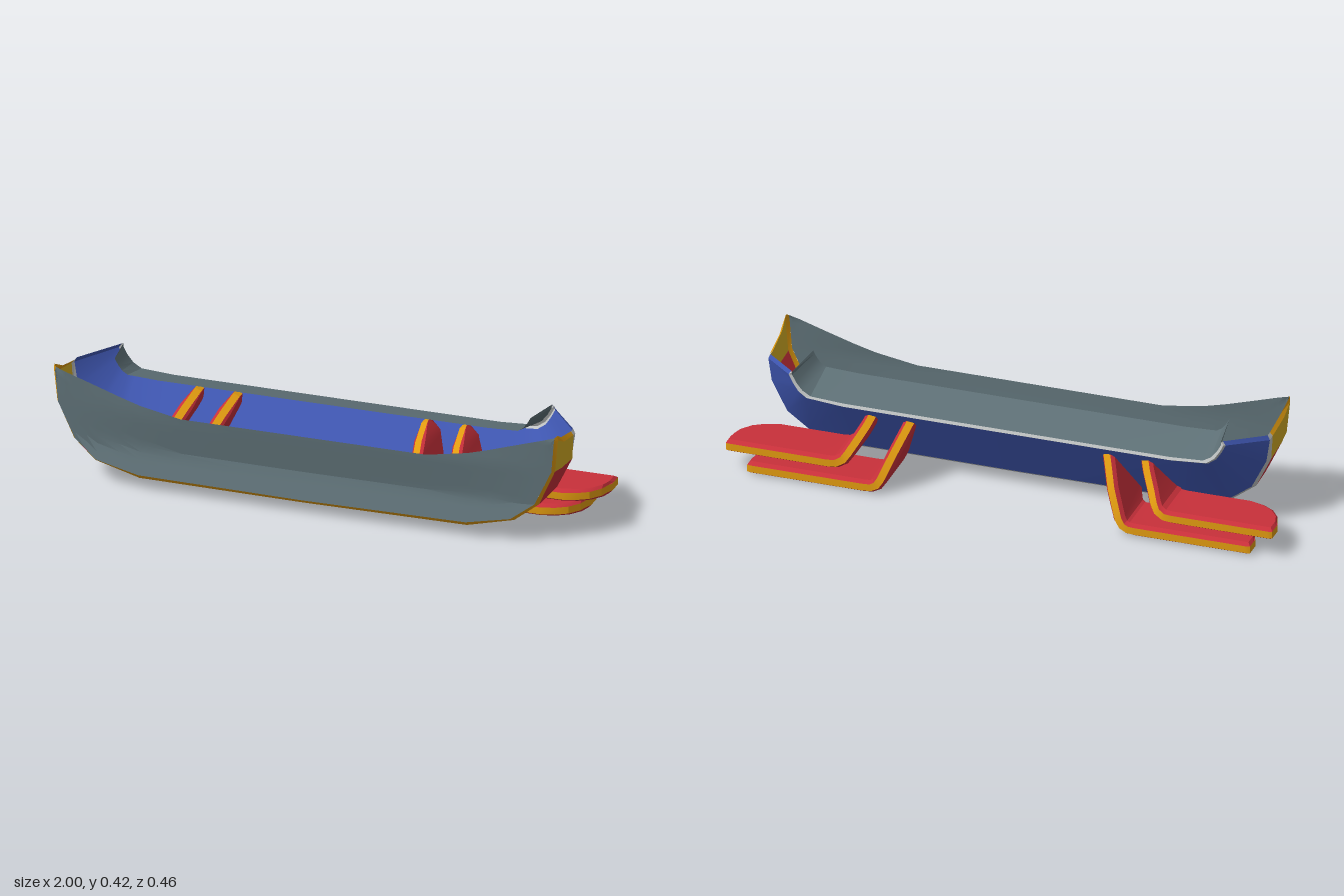
import * as THREE from 'three';
import { toCreasedNormals } from 'three/addons/utils/BufferGeometryUtils.js';

const mat = (name, color) => {
  const m = new THREE.MeshStandardMaterial({ color, side: THREE.DoubleSide });
  m.name = name;
  return m;
};

// Collects quads, then turns them into one mesh
class Surface {
  constructor() { this.p = []; }
  quad(a, b, c, d) { this.p.push(...a, ...b, ...c, ...a, ...c, ...d); }
  // joins matching segments of two cross-sections
  strip(A, B, from = 0, to = A.length - 1) {
    for (let i = from; i < to; i++) this.quad(A[i], A[i + 1], B[i + 1], B[i]);
  }
  mesh(name, material) {
    const g = new THREE.BufferGeometry();
    g.setAttribute('position', new THREE.Float32BufferAttribute(this.p, 3));
    const m = new THREE.Mesh(toCreasedNormals(g, 0.35), material);
    m.name = name;
    return m;
  }
}

// Mirrors half a cross-section (top of the +x side down to the centre)
const full = h => [...h, ...h.slice(0, -1).reverse().map(([x, y, z]) => [-x, y, z])];
const section = (xy, z) => full(xy.map(([x, y], i) => [x, y, Array.isArray(z) ? z[i] : z]));

// Piecewise linear lookup in [key, value] pairs, keys rising
function lookup(t, v) {
  if (v <= t[0][0]) return t[0][1];
  for (let i = 1; i < t.length; i++) {
    if (v <= t[i][0]) {
      const k = (v - t[i - 1][0]) / (t[i][0] - t[i - 1][0]);
      return t[i - 1][1] + k * (t[i][1] - t[i - 1][1]);
    }
  }
  return t[t.length - 1][1];
}

const frontZ = y => lookup([[0.057, 0.229], [0.146, 0.195], [0.28, 0.196], [0.40, 0.198], [0.42, 0.19]], y);

export function createModel() {
  const group = new THREE.Group();
  const slate = mat('slate', 0x5e7076);
  const red = mat('red', 0xc8303a);
  const blue = mat('blue', 0x4058b4);
  const orange = mat('orange', 0xe09a10);
  const yellow = mat('yellow', 0xd2ab24);
  const grey = mat('light grey', 0xbfc2c2);

  // Cross-sections of the shell, front to back
  const edgeXY = [[0.915, 0.412], [0.914, 0.395], [0.904, 0.283], [0.842, 0.152], [0.76, 0.093], [0.6, 0.062], [0, 0.057]];
  const edge = section(edgeXY, edgeXY.map(p => frontZ(p[1])));
  const rim = section(
    [[0.922, 0.418], [0.924, 0.40], [0.912, 0.28], [0.852, 0.146], [0.768, 0.083], [0.6, 0.046], [0, 0.042]],
    [0.184, 0.183, 0.18, 0.176, 0.196, 0.212, 0.212]);
  const middle = section(
    [[0.914, 0.386], [0.924, 0.37], [0.915, 0.27], [0.856, 0.146], [0.772, 0.08], [0.6, 0.044], [0, 0.042]], 0.12);
  const bandFront = section(
    [[0.91, 0.362], [0.92, 0.35], [0.915, 0.26], [0.86, 0.146], [0.775, 0.08], [0.6, 0.044], [0, 0.042]],
    [0.012, 0.012, 0.01, 0.012, 0.018, 0.02, 0.02]);
  const bandBack = section(
    [[0.91, 0.362], [0.918, 0.345], [0.905, 0.26], [0.85, 0.15], [0.765, 0.085], [0.6, 0.058], [0, 0.056]],
    [-0.012, -0.012, -0.012, -0.008, -0.003, 0, 0]);
  const backXY = [[0.79, 0.38], [0.80, 0.365], [0.785, 0.335], [0.765, 0.305], [0.735, 0.283], [0.6, 0.272], [0, 0.272]];
  const back = section(backXY, -0.137);
  const lip = section(backXY.map(([x, y]) => [x * 0.995, Math.min(y + 0.006, 0.378)]), -0.147);
  const trayBack = section(
    [[0.785, 0.38], [0.785, 0.368], [0.77, 0.34], [0.748, 0.313], [0.718, 0.295], [0.6, 0.288], [0, 0.288]], -0.142);
  const trayFront = section(
    [[0.762, 0.39], [0.757, 0.38], [0.748, 0.365], [0.735, 0.348], [0.715, 0.335], [0.6, 0.33], [0, 0.33]], 0.012);

  // Front plate: columns between the sloping top line and the curved bottom line
  const topLine = [[0, 0.288], [0.45, 0.288], [0.62, 0.318], [0.915, 0.412]];
  const bottomLine = [...edgeXY].reverse();
  const xs = [0, 0.225, 0.45, 0.6, 0.68, 0.76, 0.80, 0.842, 0.875, 0.904, 0.914, 0.915];
  const columns = [...xs.slice(1).reverse().map(x => -x), ...xs].map(x => {
    const ax = Math.abs(x), t = lookup(topLine, ax), b = lookup(bottomLine, ax);
    return Array.from({ length: 11 }, (_, i) => {
      const y = b + (t - b) * i / 10;
      const bulge = lookup([[0.146, 0], [0.285, 0.014], [0.41, 0]], y) * Math.min(1, (0.915 - ax) / 0.4);
      return [x, y, frontZ(y) + bulge];
    });
  });
  const plate = new Surface();
  for (let i = 1; i < columns.length; i++) plate.strip(columns[i], columns[i - 1]);
  group.add(plate.mesh('frontPlate', slate));

  // Orange trim: around the front plate and along the top of both sides
  const n = edge.length - 1;
  const trim = new Surface();
  trim.strip(edge, rim);
  for (const [a, b] of [[rim, middle], [middle, bandFront]]) {
    trim.strip(a, b, 0, 1);
    trim.strip(a, b, n - 1, n);
  }
  group.add(trim.mesh('edgeTrim', orange));

  // Yellow upper sides and red lower shell
  const upper = new Surface(), lower = new Surface();
  for (const [a, b] of [[rim, middle], [middle, bandFront]]) {
    upper.strip(a, b, 1, 2);
    upper.strip(a, b, n - 2, n - 1);
    lower.strip(a, b, 2, n - 2);
  }
  group.add(upper.mesh('upperSides', yellow), lower.mesh('lowerShell', red));

  // Grey band, blue sloping back wall, grey lip and the tray
  const band = new Surface(), wall = new Surface(), backLip = new Surface(), tray = new Surface();
  band.strip(bandFront, bandBack);
  wall.strip(bandBack, back);
  backLip.strip(back, lip);
  backLip.strip(lip, trayBack);
  tray.strip(trayBack, trayFront);
  group.add(band.mesh('greyBand', grey), wall.mesh('backWall', blue),
    backLip.mesh('backLip', grey), tray.mesh('tray', slate));

  // Winglets: a leaning strut that bends into a flat blade; stations are x, y, front z, back z
  const lowerWing = [
    [0.345, 0.28, -0.07, -0.10], [0.358, 0.25, 0.03, -0.119], [0.372, 0.215, 0.10, -0.142],
    [0.398, 0.15, 0.055, -0.187], [0.422, 0.09, 0.018, -0.21], [0.436, 0.055, -0.012, -0.222],
    [0.45, 0.034, -0.03, -0.226], [0.47, 0.024, -0.035, -0.228], [0.50, 0.0225, -0.036, -0.229],
    [0.78, 0.0225, -0.036, -0.229], [0.83, 0.0225, -0.05, -0.229], [0.87, 0.0225, -0.075, -0.229],
    [0.90, 0.0225, -0.115, -0.229], [0.91, 0.0225, -0.15, -0.229], [0.92, 0.0225, -0.17, -0.226]];
  const upperWing = [
    [0.485, 0.28, -0.07, -0.10], [0.498, 0.25, 0.03, -0.119], [0.513, 0.215, 0.10, -0.142],
    [0.543, 0.16, 0.055, -0.18], [0.56, 0.13, 0.015, -0.205], [0.575, 0.108, -0.015, -0.217],
    [0.60, 0.094, -0.028, -0.223], [0.63, 0.092, -0.03, -0.225],
    [0.86, 0.092, -0.03, -0.225], [0.91, 0.092, -0.045, -0.225], [0.95, 0.092, -0.07, -0.225],
    [0.98, 0.092, -0.11, -0.225], [0.99, 0.092, -0.145, -0.225], [1.0, 0.092, -0.165, -0.222]];

  function winglet(path, side, name) {
    const last = path.length - 1;
    const rings = path.map(([x, y, zf, zb], i) => {
      const a = path[Math.max(i - 1, 0)], b = path[Math.min(i + 1, last)];
      const l = Math.hypot(b[0] - a[0], b[1] - a[1]);
      const nx = -(b[1] - a[1]) / l, ny = (b[0] - a[0]) / l;
      const thin = 0.013, thick = i === 0 || i === last ? thin : 0.0225;
      const bevel = Math.min(0.016, (zf - zb) / 3);
      return [[zf, thin], [zf - bevel, thick], [zb + bevel, thick], [zb, thin],
        [zb, -thin], [zb + bevel, -thick], [zf - bevel, -thick], [zf, -thin], [zf, thin]]
        .map(([z, h]) => [side * (x + nx * h), y + ny * h, z]);
    });
    const faces = new Surface(), edges = new Surface();
    for (let i = 0; i < last; i++) {
      for (let j = 0; j < 8; j++) (j === 3 || j === 7 ? edges : faces).strip(rings[i], rings[i + 1], j, j + 1);
    }
    // End caps
    for (const r of [rings[0], rings[last]]) {
      for (let j = 0; j < 3; j++) edges.quad(r[j], r[j + 1], r[6 - j], r[7 - j]);
    }
    const g = new THREE.Group();
    g.name = name;
    g.add(faces.mesh('wingletFaces', red), edges.mesh('wingletEdge', orange));
    return g;
  }
  for (const [side, label] of [[1, 'left'], [-1, 'right']]) {
    group.add(winglet(lowerWing, side, label + 'LowerWinglet'), winglet(upperWing, side, label + 'UpperWinglet'));
  }
  return group;
}
